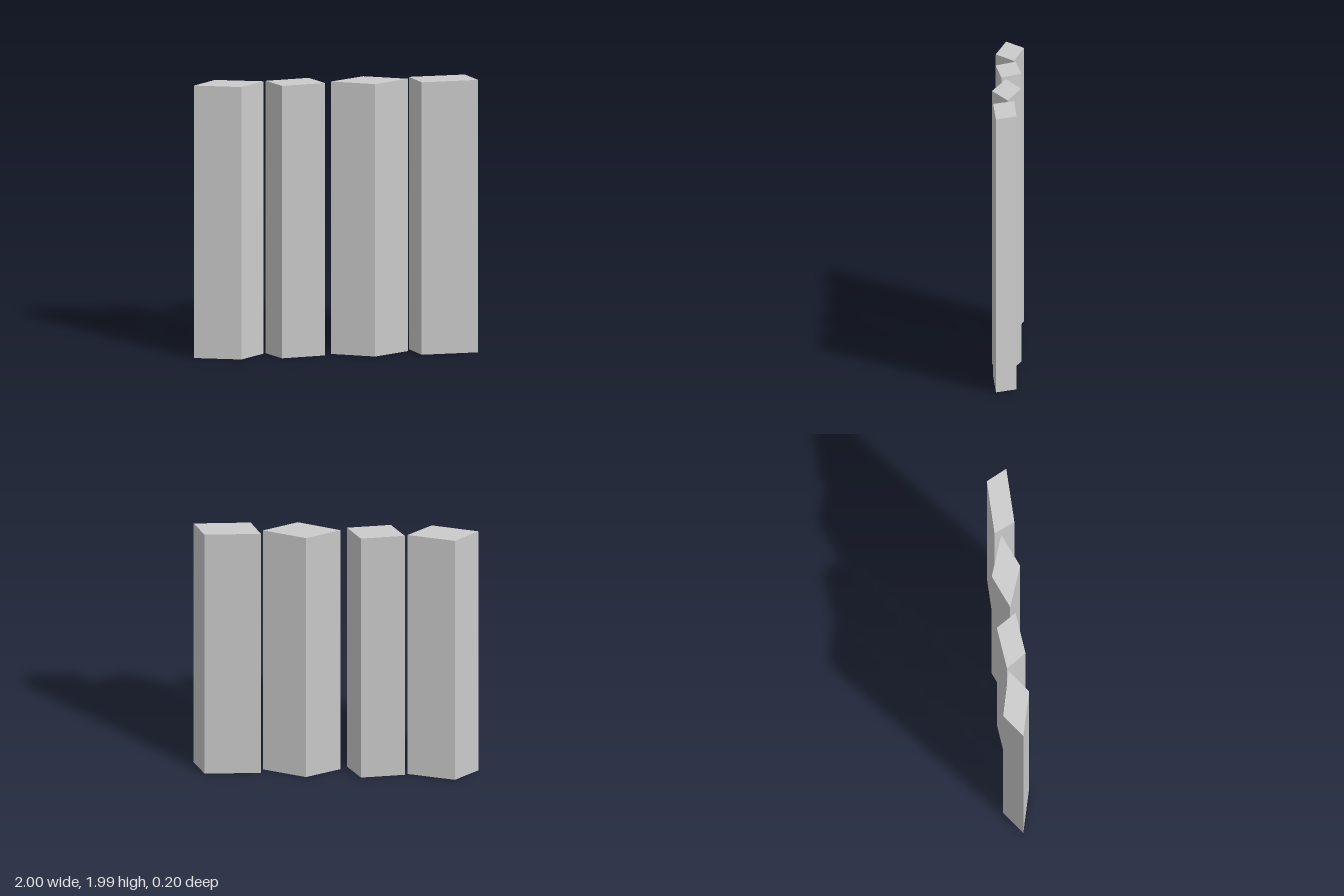
import * as THREE from 'three';

const HEIGHT = 1.99;

// Footprint corners (x, z) of each upright slab, from the model's right to its left
const FOOTPRINTS = [
  [[-1, 0.03], [-0.84, -0.1], [-0.505, -0.037], [-0.67, 0.095]],
  [[-0.487, -0.048], [-0.18, -0.097], [-0.078, 0.042], [-0.383, 0.09]],
  [[-0.033, 0.008], [0.205, -0.105], [0.51, -0.016], [0.27, 0.1]],
  [[0.523, -0.062], [0.917, -0.088], [1, 0.055], [0.6, 0.083]],
];

// Upright prism over a footprint
function makeSlab(corners, material) {
  const shape = new THREE.Shape(corners.map(([x, z]) => new THREE.Vector2(x, -z)));
  const geometry = new THREE.ExtrudeGeometry(shape, { depth: HEIGHT, bevelEnabled: false });
  geometry.rotateX(-Math.PI / 2);
  return new THREE.Mesh(geometry, material);
}

export function createModel() {
  const model = new THREE.Group();
  model.name = 'slabScreen';
  const material = new THREE.MeshStandardMaterial({ color: 0xcccccc, flatShading: true });

  // Row of four separate slabs
  FOOTPRINTS.forEach((corners, i) => {
    const slab = makeSlab(corners, material);
    slab.name = `slab${i + 1}`;
    model.add(slab);
  });
  return model;
}
